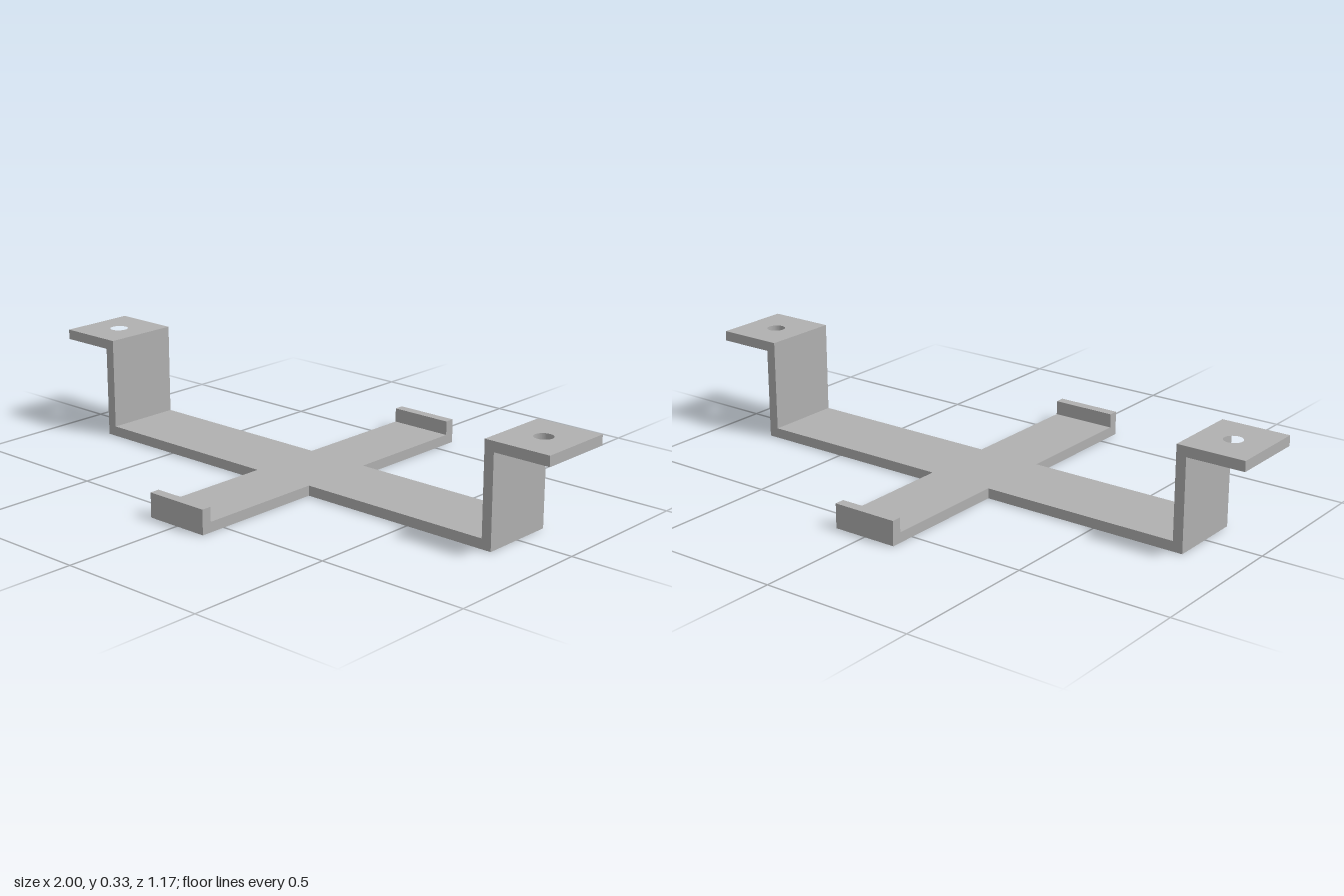
import * as THREE from 'three';

const T = 0.033;        // sheet thickness
const ARM = 0.128;      // half width of the long strap
const CROSS = 0.11;     // half width of the cross strap
const WALL = 0.81;      // outer x of the upright walls
const REACH = 0.587;    // half length of the cross strap
const TOP = 0.333;      // overall height
const LIP = 0.08;       // height of the end lips

export function createModel() {
  const group = new THREE.Group();
  const metal = new THREE.MeshStandardMaterial({ color: 0xb0b0b0 });
  metal.name = 'grey metal';

  const add = (name, geometry, x, y, z) => {
    const mesh = new THREE.Mesh(geometry, metal);
    mesh.name = name;
    mesh.position.set(x, y, z);
    group.add(mesh);
  };
  // Flat plate of sheet thickness lying in the xz plane
  const plate = (shape) =>
    new THREE.ExtrudeGeometry(shape, { depth: T, bevelEnabled: false, curveSegments: 24 }).rotateX(-Math.PI / 2);
  const outline = (points) => new THREE.Shape(points.map(([x, y]) => new THREE.Vector2(x, y)));

  // Cross-shaped base
  add('crossBase', plate(outline([
    [-WALL, -ARM], [-CROSS, -ARM], [-CROSS, -REACH], [CROSS, -REACH], [CROSS, -ARM], [WALL, -ARM],
    [WALL, ARM], [CROSS, ARM], [CROSS, REACH], [-CROSS, REACH], [-CROSS, ARM], [-WALL, ARM],
  ])), 0, 0, 0);

  for (const s of [1, -1]) {
    const side = s > 0 ? 'left' : 'right';

    // Upright wall at the end of the long strap
    add(side + 'Wall', new THREE.BoxGeometry(T, TOP - 2 * T, 2 * ARM), s * (WALL - T / 2), TOP / 2, 0);

    // Mounting tab with a screw hole
    const inner = WALL - T;
    const tab = outline([[s * inner, -ARM], [s, -ARM], [s, ARM], [s * inner, ARM]]);
    const hole = new THREE.Path();
    hole.absarc(s * 0.888, 0, 0.03, 0, Math.PI * 2, true);
    tab.holes.push(hole);
    add(side + 'MountingTab', plate(tab), 0, TOP - T, 0);

    // Short lip at the end of the cross strap
    add(s > 0 ? 'frontLip' : 'backLip', new THREE.BoxGeometry(2 * CROSS, LIP - T, T),
      0, (LIP + T) / 2, s * (REACH - T / 2));
  }
  return group;
}
